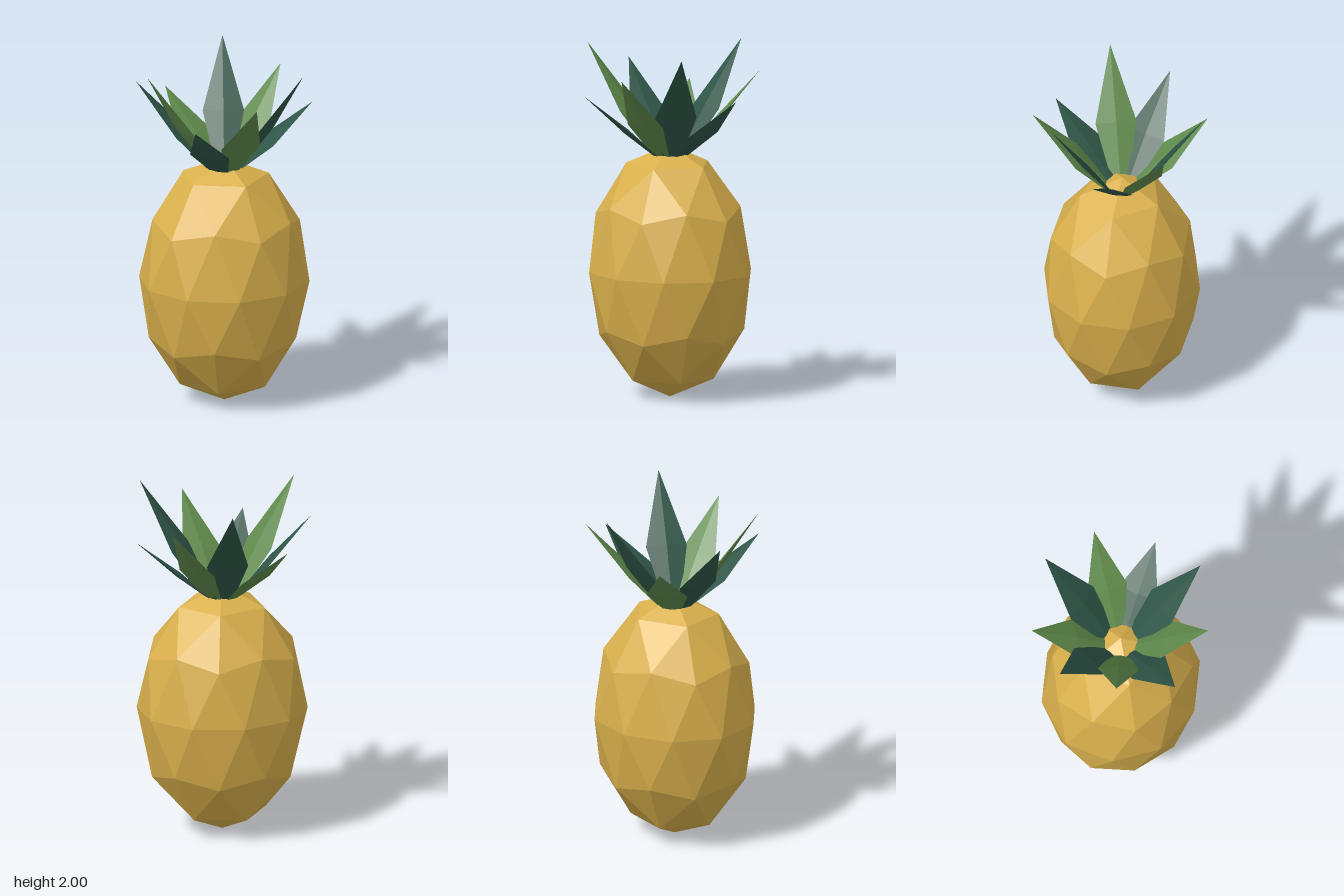
import * as THREE from 'three';

const CENTER_X = -0.016;

export function createModel() {
  const gold = new THREE.MeshStandardMaterial({ color: 0xd9b04c, flatShading: true });
  gold.name = 'golden skin';
  const green = new THREE.MeshStandardMaterial({ color: 0x5f894b, flatShading: true });
  green.name = 'leaf green';
  const teal = new THREE.MeshStandardMaterial({ color: 0x2f5547, flatShading: true });
  teal.name = 'leaf teal';

  const model = new THREE.Group();
  model.name = 'pineapple';

  // Faceted fruit standing on one corner of a subdivided icosahedron
  const skin = new THREE.IcosahedronGeometry(1, 1);
  skin.rotateZ(-Math.atan2(2, 1 + Math.sqrt(5)));
  skin.scale(0.486, 0.72, 0.45);
  const fruit = new THREE.Mesh(skin, gold);
  fruit.name = 'fruit';
  fruit.position.set(CENTER_X, 0.72, 0);
  model.add(fruit);

  // Crown of nine pointed leaves in three lengths and two alternating greens
  const crown = new THREE.Group();
  crown.name = 'crown';
  crown.position.set(CENTER_X, 1.38, 0);
  model.add(crown);

  const baseRadius = 0.085, tipRadius = 0.507;
  const tipHeights = [0.62, 0.49, 0.36];
  for (let i = 0; i < 9; i++) {
    const rise = tipHeights[i % 3], reach = tipRadius - baseRadius;
    const length = Math.hypot(rise, reach);

    // Four-sided blade, flattened to a thin diamond section
    const blade = new THREE.LatheGeometry([
      new THREE.Vector2(0, 0),
      new THREE.Vector2(0.052, 0),
      new THREE.Vector2(0.117, length * 0.41),
      new THREE.Vector2(0, length),
    ], 4);
    blade.scale(1, 1, 0.13);
    blade.rotateX(Math.atan2(reach, rise));
    blade.translate(0, 0, baseRadius);

    const leaf = new THREE.Mesh(blade, i % 2 ? green : teal);
    leaf.name = 'leaf' + (i + 1);
    leaf.rotation.y = Math.PI / 2 - (i + 1) * Math.PI * 2 / 9;
    crown.add(leaf);
  }
  return model;
}
